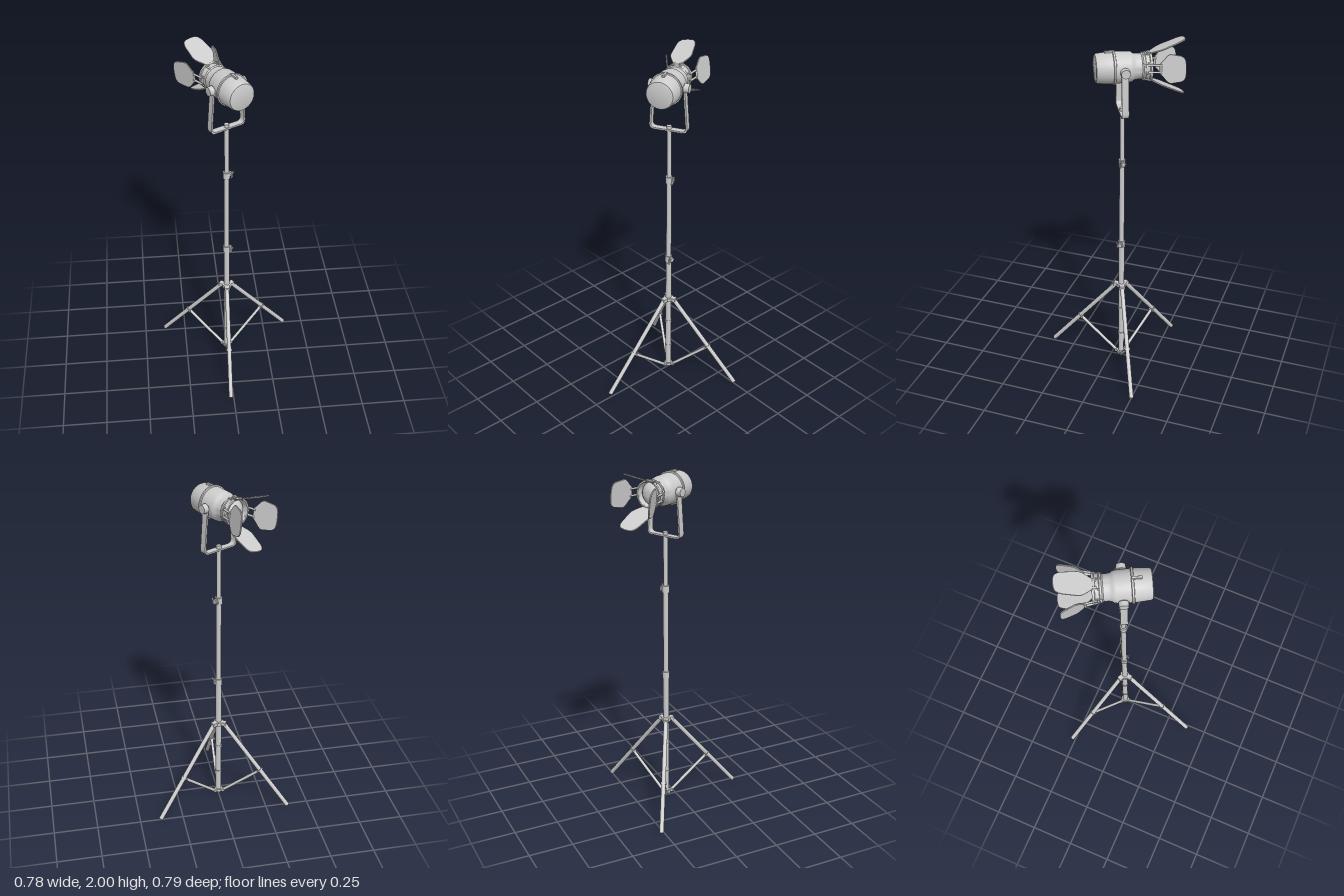
import * as THREE from 'three';
import { toCreasedNormals } from 'three/addons/utils/BufferGeometryUtils.js';
import { RoundedBoxGeometry } from 'three/addons/geometries/RoundedBoxGeometry.js';

const grey = new THREE.MeshStandardMaterial({ color: 0xcccccc });
const greyDouble = new THREE.MeshStandardMaterial({ color: 0xcccccc, side: THREE.DoubleSide });
const V = (x, y, z) => new THREE.Vector3(x, y, z);

function add(parent, name, geo, x = 0, y = 0, z = 0, mat = grey) {
  const mesh = new THREE.Mesh(geo, mat);
  mesh.name = name;
  mesh.position.set(x, y, z);
  parent.add(mesh);
  return mesh;
}

function addGroup(parent, name) {
  const group = new THREE.Group();
  group.name = name;
  parent.add(group);
  return group;
}

// Cylinder spanning two points
function rod(parent, name, a, b, r, r2 = r, seg = 16) {
  const mesh = add(parent, name, new THREE.CylinderGeometry(r2, r, a.distanceTo(b), seg));
  mesh.position.copy(a).lerp(b, 0.5);
  mesh.quaternion.setFromUnitVectors(V(0, 1, 0), b.clone().sub(a).normalize());
  return mesh;
}

// Turned part from [radius, height] pairs
function turned(points, seg = 40) {
  const geo = new THREE.LatheGeometry(points.map(p => new THREE.Vector2(p[0], p[1])), seg);
  return toCreasedNormals(geo, 0.6);
}

// Rounded flap: narrow at the hinge, wide at the free end
function doorGeometry(w, len) {
  const n = w * 0.4, s = new THREE.Shape();
  s.moveTo(-n, 0);
  s.lineTo(n, 0);
  s.bezierCurveTo(n + 0.008, len * 0.12, w, len * 0.24, w, len * 0.4);
  s.lineTo(w * 0.9, len * 0.76);
  s.quadraticCurveTo(w * 0.82, len * 0.96, w * 0.45, len * 0.985);
  s.quadraticCurveTo(0, len * 1.015, -w * 0.45, len * 0.985);
  s.quadraticCurveTo(-w * 0.82, len * 0.96, -w * 0.9, len * 0.76);
  s.lineTo(-w, len * 0.4);
  s.bezierCurveTo(-w, len * 0.24, -n - 0.008, len * 0.12, -n, 0);
  return toCreasedNormals(new THREE.ExtrudeGeometry(s, {
    depth: 0.005, bevelSize: 0.001, bevelThickness: 0.001, bevelSegments: 1, curveSegments: 8,
  }), 0.6);
}

function buildStand() {
  const stand = new THREE.Group();
  stand.name = 'stand';

  // Telescopic pole
  rod(stand, 'lowerTube', V(0, 0.02, 0), V(0, 0.8, 0), 0.0165, 0.0165, 24);
  rod(stand, 'middleTube', V(0, 0.79, 0), V(0, 1.32, 0), 0.0145, 0.0145, 24);
  rod(stand, 'upperTube', V(0, 1.3, 0), V(0, 1.61, 0), 0.0125, 0.0125, 24);
  for (const y of [0.17, 0.35]) rod(stand, 'tubeRing', V(0, y - 0.006, 0), V(0, y + 0.006, 0), 0.02);

  // Locking clamps with wing screws
  for (const [y, turn] of [[0.79, 0], [1.305, 0.6]]) {
    const clamp = addGroup(stand, 'clamp');
    clamp.position.y = y;
    clamp.rotation.y = turn;
    rod(clamp, 'clampCollar', V(0, -0.02, 0), V(0, 0.02, 0), 0.02, 0.02, 24);
    add(clamp, 'clampLug', new RoundedBoxGeometry(0.026, 0.028, 0.022, 2, 0.003), 0.018, 0, 0);
    rod(clamp, 'clampScrew', V(0.024, 0, -0.018), V(0.024, 0, 0.018), 0.005);
    for (const s of [-1, 1]) {
      const wing = add(clamp, 'clampWing', new RoundedBoxGeometry(0.011, 0.02, 0.006, 2, 0.002), 0.026 + s * 0.003, s * 0.012, 0.018);
      wing.rotation.z = -0.4;
    }
  }

  // Leg hubs
  rod(stand, 'upperHub', V(0, 0.5, 0), V(0, 0.522, 0), 0.027, 0.027, 24);
  rod(stand, 'lowerHub', V(0, 0.022, 0), V(0, 0.04, 0), 0.024, 0.024, 24);

  // Three legs with braces: heading and reach of each
  for (const [heading, reach] of [[-0.038, 0.442], [2.04, 0.427], [-2.08, 0.43]]) {
    const leg = addGroup(stand, 'leg');
    leg.rotation.y = heading;
    const top = V(0, 0.508, 0.034), foot = V(0, 0.012, reach);
    const along = t => top.clone().lerp(foot, t);
    rod(leg, 'legTube', top, foot, 0.0125);
    rod(leg, 'legClip', along(0.555), along(0.572), 0.017);
    const pivot = along(0.562).add(V(0, -0.012, -0.01));
    rod(leg, 'brace', pivot, V(0, 0.032, 0.03), 0.009, 0.009, 12);
    add(leg, 'upperLug', new RoundedBoxGeometry(0.032, 0.022, 0.03, 2, 0.003), 0, 0.511, 0.031);
    add(leg, 'lowerLug', new RoundedBoxGeometry(0.022, 0.018, 0.026, 2, 0.003), 0, 0.031, 0.026);
    rod(leg, 'bracePin', pivot.clone().add(V(-0.016, 0, 0)), pivot.clone().add(V(0.016, 0, 0)), 0.005, 0.005, 10);
  }
  return stand;
}

// U-shaped strap, bent from a flat strip
function yokeGeometry() {
  const s = new THREE.Shape(), th = 0.009, h = -0.254;
  s.moveTo(-0.091, 0.015);
  s.lineTo(-0.108, h + 0.03);
  s.quadraticCurveTo(-0.109, h, -0.08, h);
  s.lineTo(0.08, h);
  s.quadraticCurveTo(0.109, h, 0.108, h + 0.03);
  s.lineTo(0.091, 0.015);
  s.lineTo(0.091 - th, 0.015);
  s.lineTo(0.108 - th, h + 0.032);
  s.quadraticCurveTo(0.1, h + th, 0.078, h + th);
  s.lineTo(-0.078, h + th);
  s.quadraticCurveTo(-0.1, h + th, -0.108 + th, h + 0.032);
  s.lineTo(-0.091 + th, 0.015);
  s.closePath();
  const geo = new THREE.ExtrudeGeometry(s, { depth: 0.038, bevelEnabled: false, curveSegments: 8 });
  return toCreasedNormals(geo.translate(0, 0, -0.019), 0.6);
}

// Lamp head, with its lens towards local +z
function buildLamp() {
  const lamp = new THREE.Group();
  lamp.name = 'lampHead';

  const housing = add(lamp, 'housing', turned([
    [0, -0.148], [0.066, -0.148], [0.074, -0.145], [0.079, -0.136], [0.085, -0.056],
    [0.091, -0.054], [0.091, -0.044], [0.084, -0.042], [0.081, 0.035], [0.079, 0.045],
    [0.071, 0.054], [0.068, 0.07], [0.068, 0.095], [0.073, 0.102], [0.073, 0.112],
    [0.07, 0.115], [0.072, 0.135], [0.076, 0.138], [0.076, 0.15], [0.068, 0.15],
    [0.064, 0.12], [0.06, 0.1], [0, 0.1],
  ], 48), 0, 0, 0, greyDouble);
  housing.rotation.x = Math.PI / 2;

  const lens = add(lamp, 'lens', turned([
    [0.063, 0.112], [0.057, 0.126], [0.045, 0.139], [0.027, 0.149], [0.01, 0.153], [0, 0.153],
  ]));
  lens.rotation.x = Math.PI / 2;

  // Latch on the rear cap
  add(lamp, 'latch', new RoundedBoxGeometry(0.014, 0.012, 0.055, 2, 0.003), 0, 0.088, -0.07);

  // Slightly rolled barn door frame, with ribs around the barrel
  const frame = addGroup(lamp, 'barnDoorFrame');
  frame.rotation.z = -0.12;
  for (let i = 0; i < 8; i++) {
    const a = (i + 0.5) * Math.PI / 4;
    const rib = add(frame, 'barrelRib', new RoundedBoxGeometry(0.008, 0.01, 0.05, 1, 0.002), -Math.sin(a) * 0.071, Math.cos(a) * 0.071, 0.125);
    rib.rotation.z = a;
  }

  // Long pair of doors above and below, short wide pair at the sides
  const doors = [
    { tilt: 0.35, w: 0.06, len: 0.203, r: 0.071, t: 0.138 },
    { tilt: 0.26, w: 0.076, len: 0.132, r: 0.085, t: 0.186 },
    { tilt: 0.42, w: 0.06, len: 0.203, r: 0.071, t: 0.138 },
    { tilt: 0.38, w: 0.076, len: 0.132, r: 0.082, t: 0.186 },
  ];
  doors.forEach((d, i) => {
    const holder = addGroup(frame, 'barnDoor');
    holder.rotation.z = i * Math.PI / 2;
    const flap = add(holder, 'doorFlap', doorGeometry(d.w, d.len), 0, d.r, d.t);
    flap.rotation.x = Math.PI / 2 - d.tilt;
    rod(holder, 'doorHinge', V(-0.026, d.r, d.t), V(0.026, d.r, d.t), 0.006, 0.006, 10);
    for (const x of [-0.019, 0.019]) {
      rod(holder, 'hingeArm', V(x, 0.07, 0.125), V(x, d.r, d.t + 0.008), 0.006, 0.006, 8);
    }
  });

  // Yoke and pivot knobs
  add(lamp, 'yoke', yokeGeometry());
  for (const s of [-1, 1]) {
    rod(lamp, 'pivotKnob', V(s * 0.086, 0, 0), V(s * 0.114, 0, 0), 0.026, 0.024, 24);
    rod(lamp, 'pivotBoss', V(s * 0.07, 0, 0), V(s * 0.09, 0, 0), 0.018, 0.018, 20);
  }
  rod(lamp, 'yokeBolt', V(0, -0.262, 0), V(0, -0.228, 0), 0.014, 0.014, 16);
  return lamp;
}

export function createModel() {
  const model = new THREE.Group();
  model.name = 'studioLight';
  const stand = buildStand();
  stand.position.z = -0.06;
  const lamp = buildLamp();
  lamp.position.set(0, 1.86, -0.06);
  lamp.rotation.y = Math.PI + 0.49;
  model.add(stand, lamp);
  return model;
}
